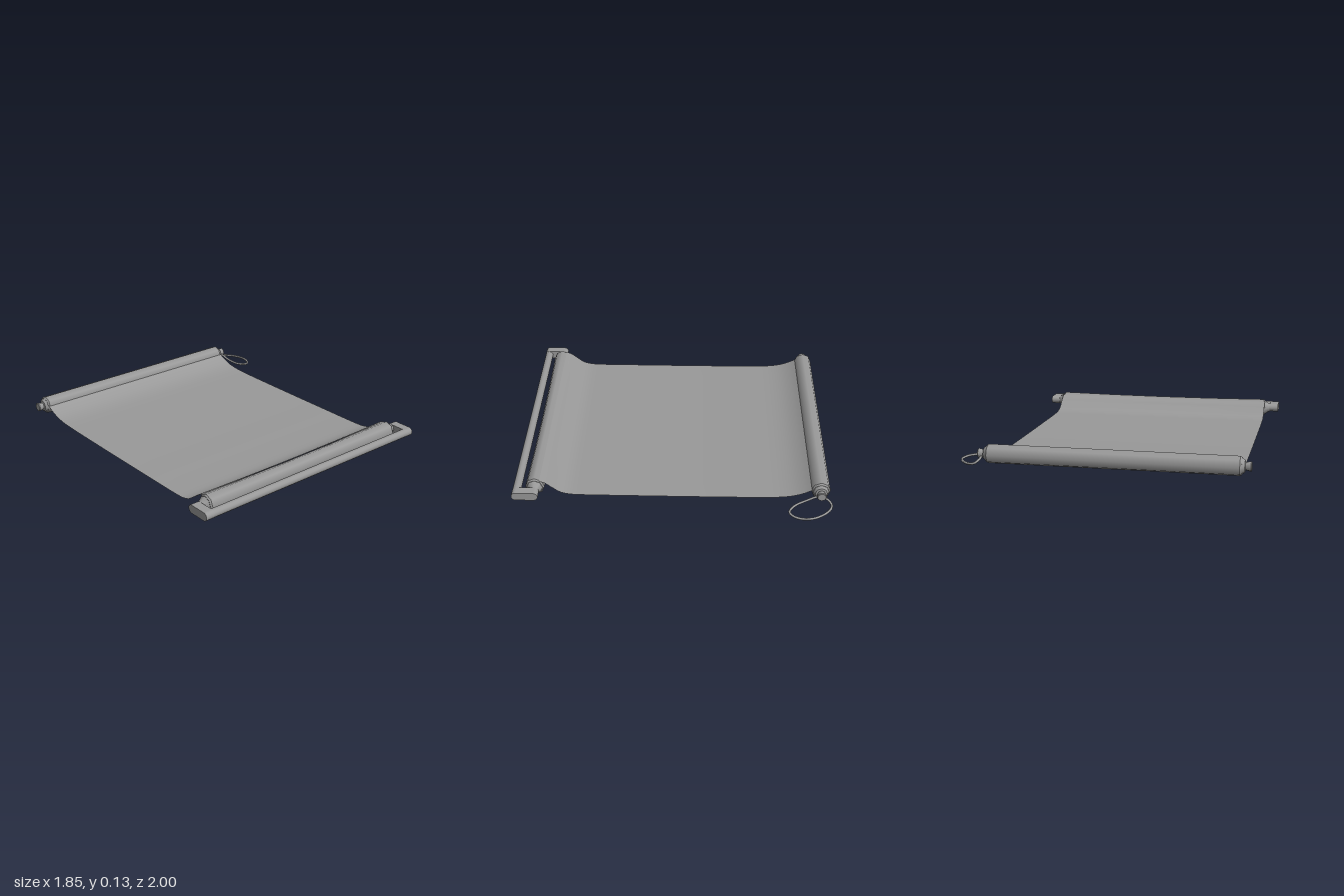
import * as THREE from 'three';

const MID = -0.055; // x of the scroll's centre line
const AXIS = 0.07; // height of both rollers

const material = (options = {}) => new THREE.MeshStandardMaterial({ color: 0x999999, ...options });

function addMesh(parent, name, geometry, options) {
  const mesh = new THREE.Mesh(geometry, material(options));
  mesh.name = name;
  parent.add(mesh);
  return mesh;
}

// Eight-sided turned part along x; every inner profile point is doubled to crease its ring
function turned(profile) {
  const points = profile.flatMap(([r, x], i) => {
    const p = new THREE.Vector2(r, x);
    return i > 0 && i < profile.length - 1 ? [p, p.clone()] : [p];
  });
  return new THREE.LatheGeometry(points, 8).rotateZ(-Math.PI / 2);
}

function addRoller(parent, name, z, waist, endProfile) {
  const roller = new THREE.Group();
  roller.name = name;
  roller.position.set(MID, AXIS, z);
  const shoulder = waist + (0.06 - waist) * 0.25;
  const body = [[0, -0.776], [0.052, -0.776], [0.06, -0.766], [shoulder, -0.38],
    [waist, 0], [shoulder, 0.38], [0.06, 0.766], [0.052, 0.776], [0, 0.776]];
  addMesh(roller, 'paperRoll', turned(body));
  for (const side of [-1, 1]) {
    const end = addMesh(roller, 'rollerEnd', turned(endProfile));
    if (side < 0) end.rotation.y = Math.PI;
  }
  parent.add(roller);
  return roller;
}

export function createModel() {
  const model = new THREE.Group();
  model.name = 'scroll';

  // Rollers: knobs on the back one, plain pins on the front one
  addRoller(model, 'backRoller', -0.925, 0.06,
    [[0, 0.74], [0.05, 0.775], [0.038, 0.793], [0.024, 0.796], [0.031, 0.828], [0.027, 0.833], [0, 0.833]]);
  const front = addRoller(model, 'frontRoller', 0.865, 0.053,
    [[0, 0.74], [0.05, 0.775], [0.038, 0.793], [0.028, 0.81], [0.026, 0.83], [0, 0.83]]);

  // Handle: rounded end plates joined by a straight bar
  const r = 0.027;
  const plateShape = new THREE.Shape();
  plateShape.absarc(0.108, 0, r, -Math.PI / 2, Math.PI / 2, false);
  plateShape.absarc(-0.003, 0, r, Math.PI / 2, Math.PI * 1.5, false);
  for (const side of [-1, 1]) {
    const plate = new THREE.ExtrudeGeometry(plateShape, { depth: 0.06, bevelEnabled: false, curveSegments: 6 });
    plate.translate(0, 0, -0.03).rotateY(-Math.PI / 2);
    addMesh(front, 'handlePlate', plate).position.x = side * 0.842;
  }
  const bar = new THREE.CylinderGeometry(r, r, 1.66, 12).rotateZ(Math.PI / 2);
  addMesh(front, 'handleBar', bar).position.z = 0.108;

  // Sheet: lies flat, leaves the back roller at mid height and climbs over the front one
  const section = [[-0.88, 0.085], [-0.83, 0.058], [-0.77, 0.036], [-0.7, 0.023], [-0.6, 0.017], [-0.3, 0.014],
    [0.3, 0.014], [0.6, 0.016], [0.66, 0.021], [0.71, 0.036], [0.76, 0.072], [0.8, 0.103], [0.835, 0.118]];
  const curve = new THREE.CatmullRomCurve3(section.map(([z, y]) => new THREE.Vector3(0, y, z)));
  const rows = 48;
  const sheet = new THREE.PlaneGeometry(1.55, 1, 10, rows).rotateX(-Math.PI / 2);
  const pos = sheet.attributes.position;
  for (let i = 0; i < pos.count; i++) {
    const p = curve.getPoint(THREE.MathUtils.clamp(pos.getZ(i) + 0.5, 0, 1));
    const x = pos.getX(i);
    // Slight sag across the middle of the front slope
    const slope = Math.max(0, 1 - Math.abs(p.z - 0.78) / 0.07);
    const sag = 0.012 * (1 - (x / 0.775) ** 2) * slope;
    pos.setXYZ(i, x + MID, p.y - sag, p.z);
  }
  sheet.computeVertexNormals();
  addMesh(model, 'sheet', sheet, { side: THREE.DoubleSide });

  // Cord: loop hung on the right knob and lying on the ground
  const loop = [[0.757, 0.06, -0.91], [0.76, 0.04, -0.965], [0.785, 0.02, -0.989], [0.82, 0.014, -0.98],
    [0.875, 0.012, -0.93], [0.912, 0.01, -0.85], [0.902, 0.009, -0.765], [0.855, 0.01, -0.723],
    [0.8, 0.016, -0.755], [0.768, 0.035, -0.83]];
  const path = new THREE.CatmullRomCurve3(loop.map((p) => new THREE.Vector3(...p)), true);
  addMesh(model, 'cord', new THREE.TubeGeometry(path, 36, 0.008, 6, true));

  return model;
}
